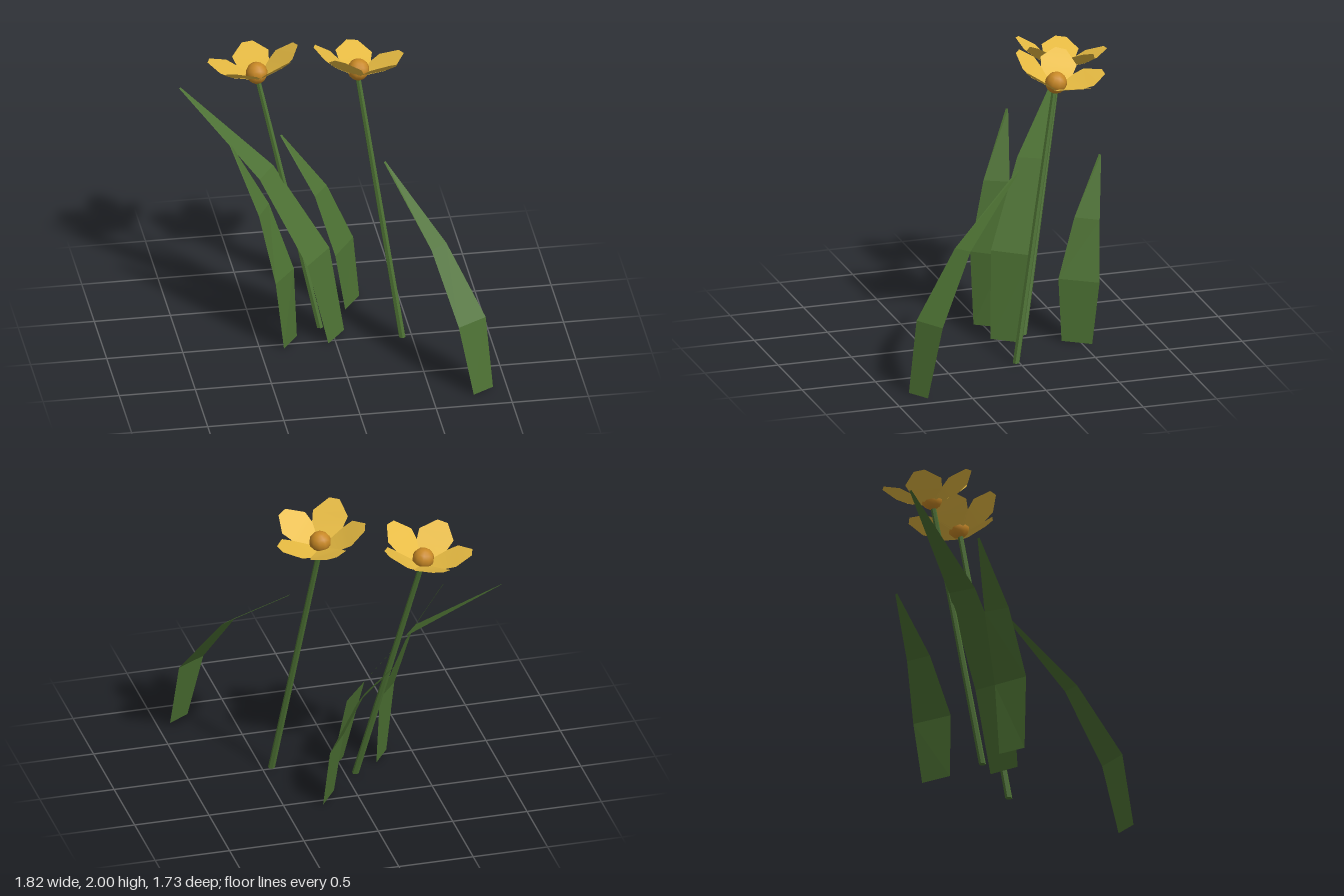
import * as THREE from 'three';

const material = (name, color, extra = {}) => {
  const m = new THREE.MeshStandardMaterial({ color, ...extra });
  m.name = name;
  return m;
};

// Thin sheet through pairs of left and right edge points
function sheet(left, right) {
  const points = left.flatMap((p, i) => [...p, ...right[i]]);
  const index = [];
  for (let i = 0; i < left.length - 1; i++) {
    const a = 2 * i;
    index.push(a, a + 1, a + 3, a, a + 3, a + 2);
  }
  const g = new THREE.BufferGeometry();
  g.setAttribute('position', new THREE.Float32BufferAttribute(points, 3));
  g.setIndex(index);
  return g;
}

export function createModel() {
  const model = new THREE.Group();
  model.name = 'flowers';
  const green = material('leaf green', 0x4b6f32, { side: THREE.DoubleSide, flatShading: true });
  const stemGreen = green;
  const yellow = material('petal yellow', 0xe6ba42, { side: THREE.DoubleSide });
  const orange = material('centre orange', 0xc88825);

  const add = (parent, name, geometry, mat) => {
    const mesh = new THREE.Mesh(geometry, mat);
    mesh.name = name;
    parent.add(mesh);
    return mesh;
  };

  // Leaves: left edge, right edge, and a shared narrow tip
  const leaves = [
    { left: [[0.77, 0, 0.86], [0.685, 0.46, 0.78], [0.555, 0.88, 0.475]],
      right: [[0.91, 0, 0.775], [0.88, 0.46, 0.665], [0.665, 0.885, 0.405]],
      tip: [0.33, 1.28, -0.03] },
    { left: [[-0.05, 0, 0.035], [-0.18, 0.56, -0.01], [-0.45, 1.08, -0.277]],
      right: [[0.08, 0, -0.13], [0, 0.56, -0.235], [-0.335, 1.09, -0.435]],
      tip: [-0.9, 1.55, -0.735] },
    { left: [[-0.345, 0, 0.055], [-0.4, 0.485, 0.06], [-0.49, 0.93, -0.06]],
      right: [[-0.235, 0, -0.1], [-0.25, 0.485, -0.13], [-0.4, 0.935, -0.21]],
      tip: [-0.64, 1.35, -0.27] },
    { left: [[0.13, 0, -0.39], [0.065, 0.405, -0.39], [-0.045, 0.775, -0.535]],
      right: [[0.25, 0, -0.56], [0.22, 0.405, -0.62], [0.055, 0.775, -0.675]],
      tip: [-0.23, 1.12, -0.77] },
  ];
  for (const { left, right, tip } of leaves) {
    const [x, y, z] = tip;
    const g = sheet([...left, [x - 0.006, y, z + 0.006]], [...right, [x + 0.006, y, z - 0.006]]);
    g.computeVertexNormals();
    add(model, 'leaf', g, green);
  }

  // One petal reaching towards the back: [distance, half width, height]
  const rows = [[0.02, 0.025, 0.0], [0.14, 0.105, 0.055], [0.212, 0.121, 0.1], [0.303, 0.036, 0.15]];
  const petal = sheet(rows.map(([r, w, h]) => [-w, h, -r]), rows.map(([r, w, h]) => [w, h, -r]));
  petal.computeVertexNormals();

  // Flowers: stem foot, cup position and cup axis
  const flowers = [
    { foot: [-0.068, 0, -0.195], cup: [-0.42, 1.68, -0.55], axis: [-0.125, 1, -0.17] },
    { foot: [0.437, 0, 0.02], cup: [0.2, 1.775, -0.32], axis: [0.155, 1, -0.22] },
  ];
  for (const { foot, cup, axis } of flowers) {
    const a = new THREE.Vector3(...foot), b = new THREE.Vector3(...cup);
    const up = new THREE.Vector3(0, 1, 0);

    // Tapered stem with a level foot, sheared to reach the cup
    const g = new THREE.CylinderGeometry(0.018, 0.023, b.y, 6);
    const p = g.attributes.position;
    for (let i = 0; i < p.count; i++) {
      const t = p.getY(i) / b.y + 0.5;
      p.setXYZ(i, p.getX(i) + a.x + (b.x - a.x) * t, t * b.y, p.getZ(i) + a.z + (b.z - a.z) * t);
    }
    g.computeVertexNormals();
    add(model, 'stem', g, stemGreen);

    const head = new THREE.Group();
    head.name = 'flowerHead';
    head.position.copy(b);
    head.quaternion.setFromUnitVectors(up, new THREE.Vector3(...axis).normalize());
    model.add(head);
    for (let k = 0; k < 5; k++) {
      add(head, 'petal', petal, yellow).rotation.y = (k * 2 * Math.PI) / 5;
    }
    add(head, 'flowerCentre', new THREE.SphereGeometry(0.072, 10, 8), orange).position.y = 0.038;
  }
  return model;
}
